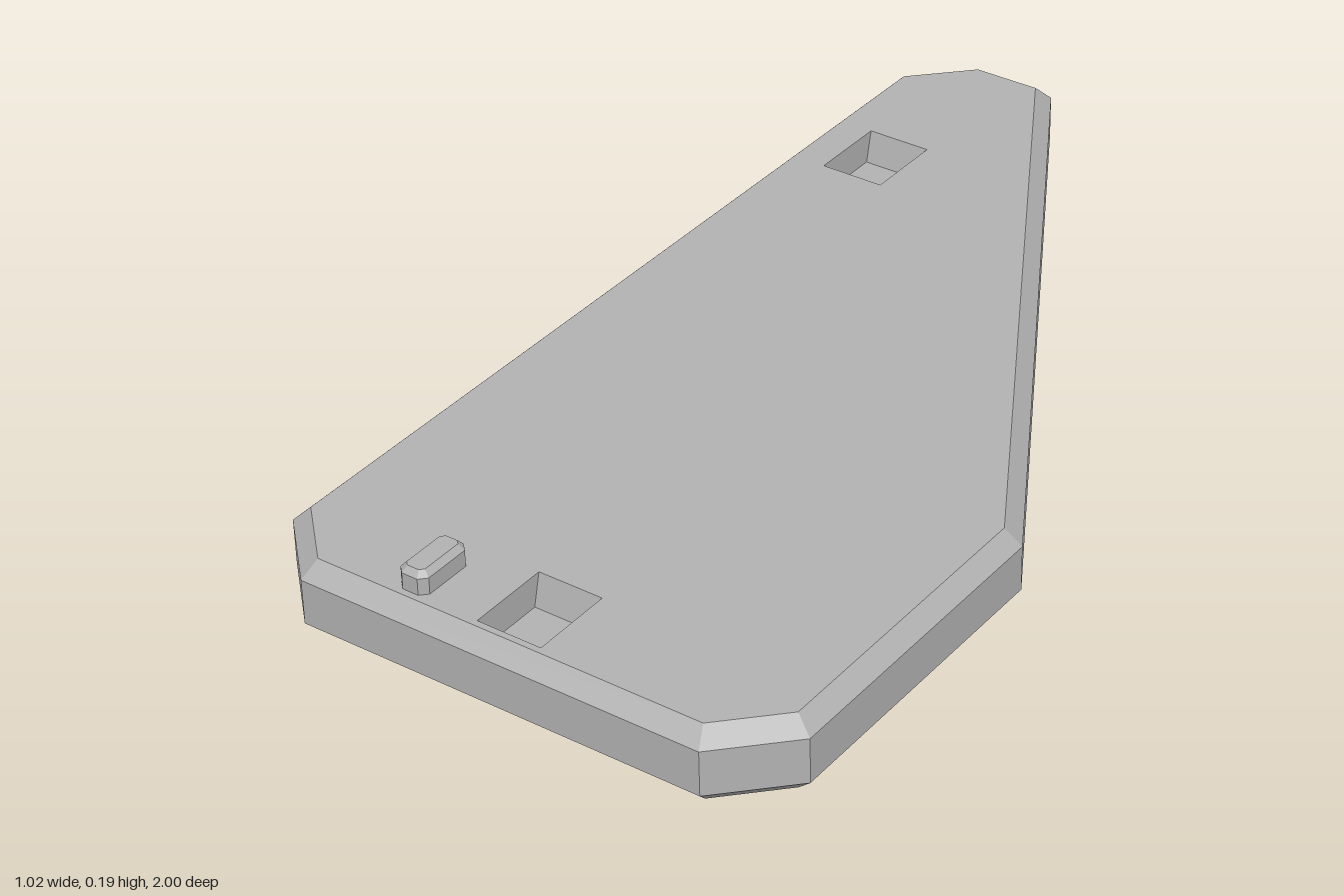
import * as THREE from 'three';

const grey = new THREE.MeshStandardMaterial({ color: 0xb2b2b2 });
grey.name = 'plain grey';

// Geometry from a list of quads, each with four [x, y, z] corners
function quads(list) {
  const pos = [];
  for (const [a, b, c, d] of list) pos.push(...a, ...b, ...c, ...a, ...c, ...d);
  const g = new THREE.BufferGeometry();
  g.setAttribute('position', new THREE.Float32BufferAttribute(pos, 3));
  g.computeVertexNormals();
  return g;
}

// Move every edge of a convex [x, z] outline inwards by k
function inset(pts, k) {
  const n = pts.length;
  const normal = (i) => {
    const [ax, az] = pts[i % n], [bx, bz] = pts[(i + 1) % n];
    const l = Math.hypot(bx - ax, bz - az);
    return [-(bz - az) / l, (bx - ax) / l];
  };
  return pts.map(([x, z], i) => {
    const p = normal(i + n - 1), q = normal(i);
    const s = k / (1 + p[0] * q[0] + p[1] * q[1]);
    return [x + (p[0] + q[0]) * s, z + (p[1] + q[1]) * s];
  });
}

// Side walls through stacked levels [height, inset]
function walls(outline, levels) {
  const rings = levels.map(([y, k]) => inset(outline, k).map(([x, z]) => [x, y, z]));
  const list = [];
  for (let r = 0; r + 1 < rings.length; r++) {
    outline.forEach((_, i) => {
      const j = (i + 1) % outline.length;
      list.push([rings[r][j], rings[r][i], rings[r + 1][i], rings[r + 1][j]]);
    });
  }
  return quads(list);
}

// Flat face facing up (dir 1) or down (dir -1), with rectangular openings
function cap(outline, y, dir, holes = []) {
  const flat = (pts) => pts.map(([x, z]) => new THREE.Vector2(x, -dir * z));
  const shape = new THREE.Shape(flat(outline));
  for (const [x, z] of holes) {
    shape.holes.push(new THREE.Path(flat([
      [x - HW, z - HL], [x + HW, z - HL], [x + HW, z + HL], [x - HW, z + HL],
    ])));
  }
  return new THREE.ShapeGeometry(shape).rotateX(-dir * Math.PI / 2).translate(0, y, 0);
}

// Pocket half width and half length, and its side profile as [z, y]
const HW = 0.0625, HL = 0.078;
const pocketProfile = [
  [-HL, 0], [-0.063, -0.06], [0.063, -0.06], [0.063, -0.02], [HL, -0.02], [HL, 0],
];

export function createModel() {
  const model = new THREE.Group();
  const add = (parent, name, geometry) => {
    const mesh = new THREE.Mesh(geometry, grey);
    mesh.name = name;
    parent.add(mesh);
  };

  const H = 0.145, bevel = 0.03;
  const outline = [
    [-0.51, -0.88], [-0.39, -1], [-0.23, -1], [0.51, 0.28],
    [0.51, 0.88], [0.39, 1], [-0.39, 1], [-0.51, 0.88],
  ];
  const topPockets = [[-0.352, -0.58], [-0.002, 0.88]];
  const bottomPockets = [[-0.26, -0.13], [0.255, 0.575], [-0.24, 0.735]];

  // Bevelled plate
  add(model, 'plateEdge', walls(outline, [[0, bevel], [bevel, 0], [H - bevel, 0], [H, bevel]]));
  add(model, 'plateTop', cap(inset(outline, bevel), H, 1, topPockets));
  add(model, 'plateUnderside', cap(inset(outline, bevel), 0, -1, bottomPockets));

  // Recessed pockets: a sloped back, a floor and a small front ledge
  const strips = [];
  for (let i = 0; i + 1 < pocketProfile.length; i++) {
    const [za, ya] = pocketProfile[i], [zb, yb] = pocketProfile[i + 1];
    strips.push([[-HW, ya, za], [-HW, yb, zb], [HW, yb, zb], [HW, ya, za]]);
  }
  const pocketFloor = quads(strips);
  const pocketSides = [-1, 1].map((s) => new THREE.ShapeGeometry(
    new THREE.Shape(pocketProfile.map(([z, y]) => new THREE.Vector2(s * z, y))),
  ).rotateY(-s * Math.PI / 2).translate(s * HW, 0, 0));

  const addPocket = (name, x, y, z, flip) => {
    const pocket = new THREE.Group();
    pocket.name = name;
    add(pocket, 'pocketFloor', pocketFloor);
    pocketSides.forEach((g) => add(pocket, 'pocketSide', g));
    pocket.position.set(x, y, z);
    if (flip) pocket.rotation.z = Math.PI;
    model.add(pocket);
  };
  topPockets.forEach(([x, z]) => addPocket('topPocket', x, H, z, false));
  bottomPockets.forEach(([x, z]) => addPocket('bottomPocket', x, 0, z, true));

  // Small chamfered peg beside the front pocket
  const w = 0.0285, l = 0.058, c = 0.013;
  const pegOutline = [
    [-w, c - l], [c - w, -l], [w - c, -l], [w, c - l],
    [w, l - c], [w - c, l], [c - w, l], [-w, l - c],
  ].map(([x, z]) => [x - 0.198, z + 0.9]);
  add(model, 'pegSides', walls(pegOutline, [[H, 0], [0.176, 0], [0.187, 0.01]]));
  add(model, 'pegTop', cap(inset(pegOutline, 0.01), 0.187, 1));

  return model;
}
